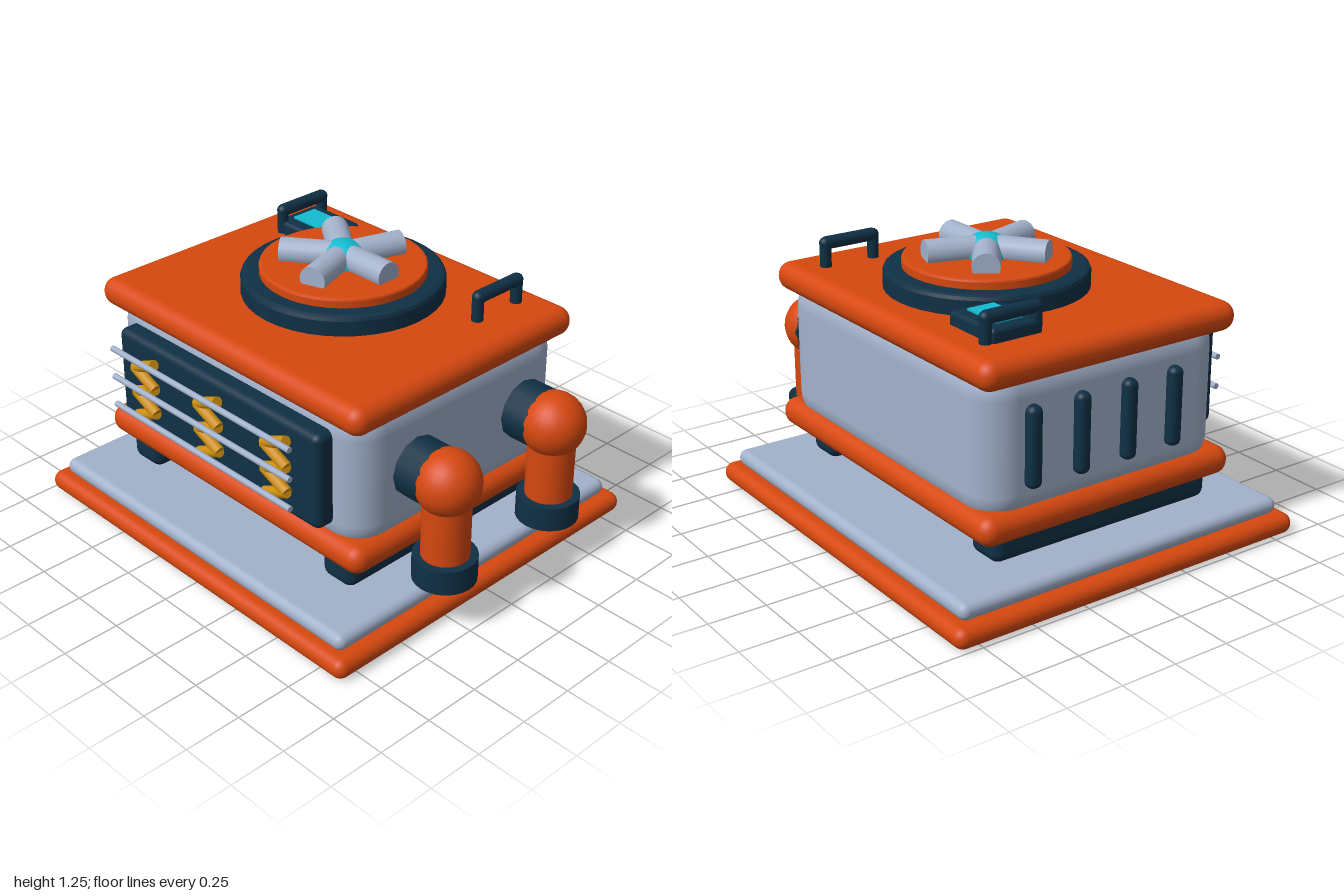
import * as THREE from 'three';
import { RoundedBoxGeometry } from 'three/addons/geometries/RoundedBoxGeometry.js';

const material = (name, color) => {
  const m = new THREE.MeshStandardMaterial({ color });
  m.name = name;
  return m;
};

export function createModel() {
  const orange = material('orange enamel', 0xd6480f);
  const grey = material('blue grey metal', 0xa2b1cb);
  const navy = material('dark navy', 0x0f3045);
  const cyan = material('cyan glow', 0x14bbd0);
  const gold = material('gold coil', 0xcf8f10);

  const model = new THREE.Group();
  model.name = 'heaterUnit';

  const add = (name, geometry, mat, parent = model) => {
    const mesh = new THREE.Mesh(geometry, mat);
    mesh.name = name;
    parent.add(mesh);
    return mesh;
  };
  const group = (name) => {
    const g = new THREE.Group();
    g.name = name;
    model.add(g);
    return g;
  };
  // Rounded box given by its limits on each axis
  const block = (name, [x0, x1], [y0, y1], [z0, z1], r, mat, parent) => {
    const mesh = add(name, new RoundedBoxGeometry(x1 - x0, y1 - y0, z1 - z0, 4, r), mat, parent);
    mesh.position.set((x0 + x1) / 2, (y0 + y1) / 2, (z0 + z1) / 2);
    return mesh;
  };
  // Cylinder running between two points
  const rod = (name, a, b, r, mat, parent, sides = 16) => {
    const from = new THREE.Vector3(...a), to = new THREE.Vector3(...b);
    const dir = to.clone().sub(from);
    const mesh = add(name, new THREE.CylinderGeometry(r, r, dir.length(), sides), mat, parent);
    mesh.position.copy(from).add(to).multiplyScalar(0.5);
    mesh.quaternion.setFromUnitVectors(new THREE.Vector3(0, 1, 0), dir.normalize());
    return mesh;
  };
  const ball = (name, p, r, mat, parent) => {
    const mesh = add(name, new THREE.SphereGeometry(r, 24, 16), mat, parent);
    mesh.position.set(...p);
    return mesh;
  };

  // Base plates and runners
  block('basePlate', [-1, 0.885], [0, 0.09], [-0.857, 0.857], 0.044, orange);
  block('baseTray', [-0.945, 0.83], [0.085, 0.158], [-0.805, 0.805], 0.035, grey);
  block('rightRunner', [-0.76, -0.58], [0.158, 0.3], [-0.525, 0.567], 0.045, navy);
  block('leftRunner', [0.465, 0.64], [0.158, 0.3], [-0.525, 0.567], 0.045, navy);

  // Housing between two slabs
  block('lowerSlab', [-0.845, 0.73], [0.28, 0.405], [-0.63, 0.622], 0.06, orange);
  block('housing', [-0.81, 0.695], [0.31, 1.0], [-0.6, 0.582], 0.15, grey);
  block('upperSlab', [-0.845, 0.73], [0.91, 1.035], [-0.63, 0.622], 0.06, orange);

  // Front panel with zigzag coils and guard bars
  block('frontPanel', [-0.675, 0.555], [0.445, 0.875], [0.54, 0.66], 0.035, navy);
  for (const cx of [-0.465, -0.06, 0.345]) {
    const coil = group('heatingCoil');
    const point = (i) => [cx + (i % 2 ? -0.065 : 0.065), 0.812 - i * 0.058, 0.688];
    for (let i = 0; i < 5; i++) rod('coilSegment', point(i), point(i + 1), 0.024, gold, coil, 12);
  }
  for (const y of [0.833, 0.7, 0.566]) {
    rod('guardBar', [-0.605, y, 0.742], [0.49, y, 0.742], 0.013, grey);
  }

  // Side vents
  for (const z of [-0.392, -0.16, 0.073, 0.305]) {
    block('sideVent', [-0.853, -0.77], [0.485, 0.825], [z - 0.032, z + 0.032], 0.028, navy);
  }

  // Elbow pipes on the left side
  for (const z of [0.263, -0.362]) {
    const pipe = group('exhaustPipe');
    rod('pipeFlange', [0.62, 0.65, z], [0.83, 0.65, z], 0.13, navy, pipe, 12);
    ball('pipeElbow', [0.862, 0.65, z], 0.138, orange, pipe);
    rod('pipeDrop', [0.862, 0.28, z], [0.862, 0.65, z], 0.1, orange, pipe, 20);
    rod('pipeMouth', [0.862, 0.207, z], [0.862, 0.317, z], 0.133, navy, pipe, 24);
  }

  // Fan: softened ring, disc, five blades and hub
  const fan = group('fan');
  fan.position.set(-0.057, 0, -0.062);
  const disc = (name, r, y0, y1, bevel, mat) => {
    const pts = [[0, y0], [r, y0], [r, y1 - bevel], [r - bevel * 0.3, y1 - bevel * 0.3], [r - bevel, y1], [0, y1]];
    // Doubled rim points keep the flat faces crisp
    const profile = pts.flatMap(([x, y]) => [new THREE.Vector2(x, y), new THREE.Vector2(x, y)]);
    add(name, new THREE.LatheGeometry(profile.slice(1, -1), 40), mat, fan);
  };
  disc('fanRing', 0.43, 1.02, 1.12, 0.02, navy);
  disc('fanDisc', 0.352, 1.1, 1.16, 0.01, orange);
  for (let i = 0; i < 5; i++) {
    const a = (i * Math.PI * 2) / 5;
    rod('fanBlade', [0, 1.185, 0], [Math.cos(a) * 0.265, 1.185, Math.sin(a) * 0.265], 0.058, grey, fan, 20);
  }
  ball('fanHub', [0, 1.16, 0], 0.105, cyan, fan).scale.y = 0.89;

  // Carrying handles
  for (const x of [-0.643, 0.525]) {
    const handle = group('handle');
    for (const z of [-0.487, -0.252]) {
      rod('handlePost', [x, 1.0, z], [x, 1.138, z], 0.025, navy, handle);
      ball('handleCorner', [x, 1.138, z], 0.026, navy, handle);
    }
    rod('handleGrip', [x, 1.138, -0.487], [x, 1.138, -0.252], 0.028, navy, handle);
  }

  // Small display on the top
  block('displayCase', [-0.67, -0.38], [1.0, 1.092], [-0.475, -0.235], 0.02, navy);
  const screen = add('displayScreen', new THREE.BoxGeometry(0.19, 0.009, 0.125), cyan);
  screen.position.set(-0.525, 1.0955, -0.358);

  return model;
}
